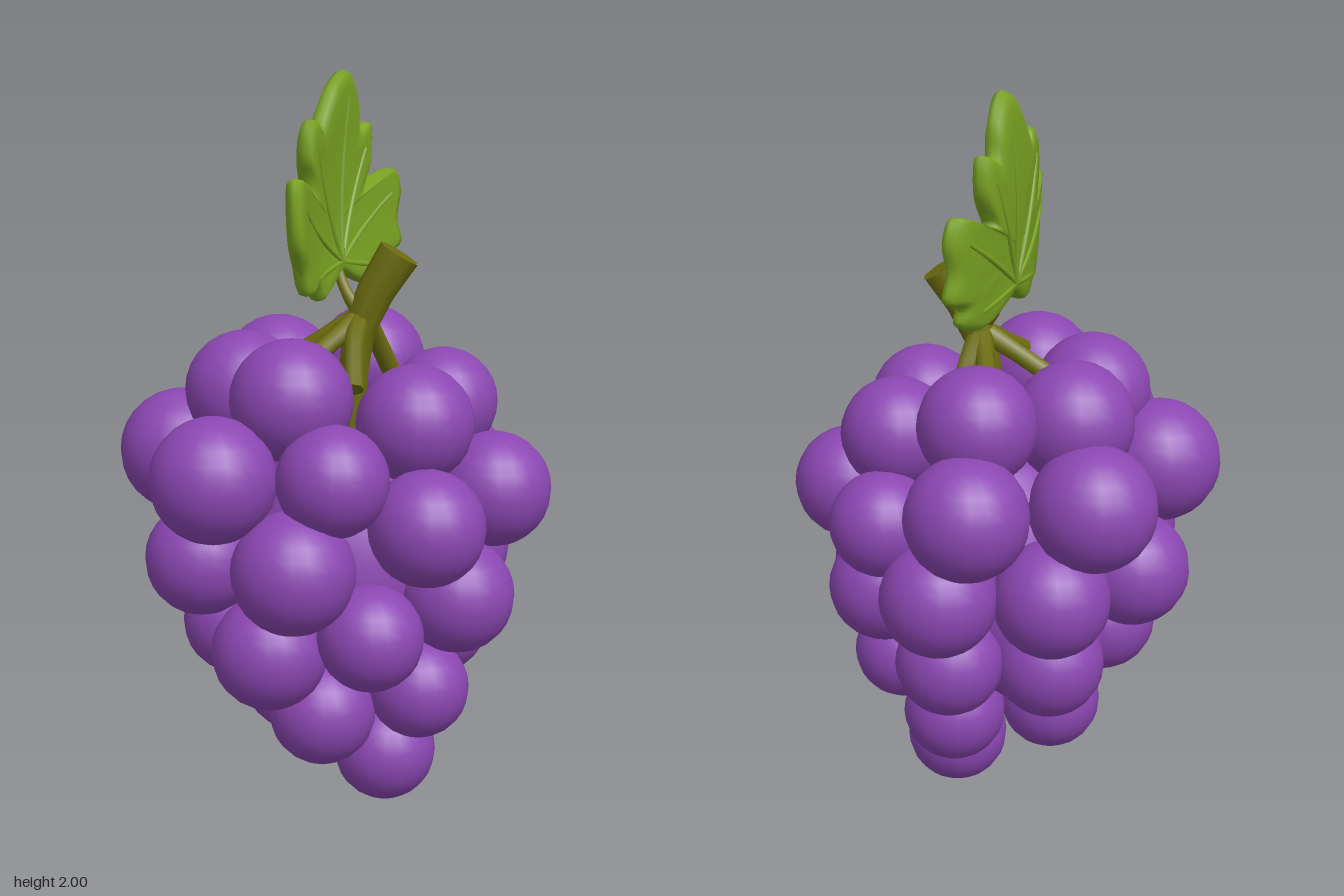
import * as THREE from 'three';

const grapePurple = new THREE.MeshStandardMaterial({ color: 0x8b47b2 });
const leafGreen = new THREE.MeshStandardMaterial({ color: 0x7aa222 });
const stemOlive = new THREE.MeshStandardMaterial({ color: 0x6c6c10 });
const V = (x, y, z) => new THREE.Vector3(x, y, z);

// Grapes as [x, y, z, radius], one tier per table
const tiers = {
  top: [
    [-0.04, 1.18, 0.27, 0.16], [-0.22, 1.17, 0.13, 0.16], [-0.22, 1.17, -0.14, 0.16],
    [0, 1.19, -0.29, 0.155], [0.25, 1.11, -0.16, 0.15], [0.25, 1.11, 0.13, 0.155]],
  shoulder: [
    [-0.41, 0.99, 0.12, 0.168], [-0.19, 1.0, 0.44, 0.163], [-0.3, 0.99, -0.28, 0.166],
    [-0.01, 1.0, -0.445, 0.16], [0.425, 0.91, -0.03, 0.155], [0.32, 0.87, 0.26, 0.152],
    [0.1, 1.0, 0.36, 0.145], [0.25, 0.91, -0.31, 0.14]],
  middle: [
    [-0.37, 0.74, -0.06, 0.155], [-0.29, 0.74, 0.28, 0.152], [0.015, 0.77, 0.42, 0.16],
    [0.355, 0.64, 0.08, 0.155], [0.28, 0.69, -0.21, 0.15], [0.08, 0.75, -0.39, 0.155],
    [-0.2, 0.74, -0.31, 0.155]],
  lower: [
    [0.18, 0.57, 0.29, 0.14], [-0.09, 0.51, 0.31, 0.155], [-0.265, 0.51, 0.1, 0.148],
    [0.25, 0.47, -0.14, 0.135], [0.08, 0.52, -0.29, 0.145], [-0.17, 0.5, -0.19, 0.15]],
  tip: [
    [0.255, 0.37, 0.09, 0.138], [0.015, 0.31, 0.19, 0.145], [-0.14, 0.3, -0.02, 0.14],
    [0.1, 0.31, -0.165, 0.14], [0.138, 0.142, 0.01, 0.142]],
};

function makeGrapes() {
  const group = new THREE.Group();
  group.name = 'grapes';
  for (const [tier, list] of Object.entries(tiers)) {
    for (const [x, y, z, r] of list) {
      const grape = new THREE.Mesh(new THREE.SphereGeometry(r, 20, 14), grapePurple);
      grape.position.set(x, y, z);
      grape.name = tier + 'Grape';
      group.add(grape);
    }
  }
  // Inner mass that closes the gaps between grapes
  const core = new THREE.Mesh(new THREE.SphereGeometry(1, 24, 16), grapePurple);
  core.scale.set(0.28, 0.38, 0.29);
  core.position.set(0.02, 0.68, 0);
  core.name = 'clusterCore';
  group.add(core);
  return group;
}

// Tube whose radius runs through the given values, with capped ends
function taperedTube(name, points, radii, material, sides = 8) {
  const curve = new THREE.CatmullRomCurve3(points.map(p => V(...p)));
  const rows = 12;
  const geo = new THREE.TubeGeometry(curve, rows, 1, sides);
  const pos = geo.attributes.position;
  const group = new THREE.Group();
  group.name = name;
  for (let k = 0; k <= rows; k++) {
    const c = curve.getPointAt(k / rows);
    const t = (k / rows) * (radii.length - 1);
    const i = Math.min(Math.floor(t), radii.length - 2);
    const r = THREE.MathUtils.lerp(radii[i], radii[i + 1], t - i);
    for (let j = 0; j <= sides; j++) {
      const n = k * (sides + 1) + j;
      const p = V(0, 0, 0).fromBufferAttribute(pos, n).sub(c).multiplyScalar(r).add(c);
      pos.setXYZ(n, p.x, p.y, p.z);
    }
  }
  group.add(new THREE.Mesh(geo, material));
  for (const end of [0, 1]) {
    const cap = new THREE.Mesh(new THREE.CircleGeometry(radii[end ? radii.length - 1 : 0], sides), material);
    const p = curve.getPointAt(end);
    const dir = curve.getTangentAt(end).multiplyScalar(end ? 1 : -1);
    cap.position.copy(p);
    cap.quaternion.setFromUnitVectors(V(0, 0, 1), dir);
    group.add(cap);
  }
  group.children.forEach(m => { m.name = name; });
  return group;
}

function makeStem() {
  const group = new THREE.Group();
  group.name = 'stem';
  group.add(
    taperedTube('mainStem', [[0.16, 1.53, -0.025], [0.1, 1.43, -0.01], [0.055, 1.32, 0],
      [0.04, 1.15, 0], [0.04, 0.7, 0], [0.12, 0.2, 0]], [0.058, 0.043, 0.035, 0.035, 0.03, 0.025], stemOlive),
    taperedTube('leafStalk', [[0.07, 1.36, 0], [0.02, 1.42, -0.01], [-0.02, 1.5, -0.03]],
      [0.025, 0.016, 0.014], stemOlive));
  const branchEnds = [[0.1, 1.2, 0.18], [0.1, 1.18, -0.17], [-0.13, 1.24, 0.01], [-0.04, 1.25, 0.19], [0, 1.26, -0.18]];
  for (const [x, y, z] of branchEnds) {
    group.add(taperedTube('branch', [[0.06, 1.36, 0], [0.03 + x * 0.4, 1.31, z * 0.45], [x, y, z]],
      [0.032, 0.026, 0.026], stemOlive));
  }
  return group;
}

// Lobed outline of the leaf as [z, y]
const leafOutline = [
  [-0.085, 2.0], [-0.145, 1.93], [-0.16, 1.845], [-0.215, 1.86], [-0.222, 1.77], [-0.175, 1.68],
  [-0.26, 1.705], [-0.33, 1.727], [-0.355, 1.67], [-0.335, 1.59], [-0.345, 1.52], [-0.29, 1.49],
  [-0.29, 1.45], [-0.21, 1.418], [-0.1, 1.45], [-0.03, 1.475], [0.04, 1.445], [0.14, 1.418],
  [0.185, 1.455], [0.27, 1.45], [0.3, 1.515], [0.35, 1.58], [0.355, 1.67], [0.33, 1.74],
  [0.27, 1.74], [0.155, 1.69], [0.155, 1.73], [0.18, 1.79], [0.165, 1.87], [0.115, 1.88],
  [0.085, 1.86], [0.04, 1.91], [-0.02, 1.975]];

// Sideways bend of the leaf blade
const leafBend = (y, z) => -0.035 + 0.5 * z * z - 0.08 * z + 0.2 * (y - 1.75) ** 2;

function makeLeaf() {
  const group = new THREE.Group();
  group.name = 'leaf';
  const n = 132;
  const outline = new THREE.CatmullRomCurve3(leafOutline.map(([z, y]) => V(0, y, z)), true, 'centripetal').getPoints(n).slice(0, n);
  const cy = 1.6, cz = -0.02;
  // Rings from the middle of one face, over the rim, to the middle of the other
  const rings = [[0, 0.018], [0.35, 0.02], [0.7, 0.024], [0.9, 0.026], [0.98, 0.016], [1, 0],
    [0.98, -0.016], [0.9, -0.026], [0.7, -0.024], [0.35, -0.02], [0, -0.018]];
  const verts = [], index = [];
  rings.forEach(([s, h], k) => {
    outline.forEach((p, i) => {
      const y = cy + (p.y - cy) * s, z = cz + (p.z - cz) * s;
      verts.push(leafBend(y, z) + h, y, z);
      if (k === rings.length - 1) return;
      const j = (i + 1) % n, a = k * n + i, b = k * n + j;
      index.push(a, b, b + n, a, b + n, a + n);
    });
  });
  const geo = new THREE.BufferGeometry();
  geo.setAttribute('position', new THREE.Float32BufferAttribute(verts, 3));
  geo.setIndex(index);
  geo.computeVertexNormals();
  const blade = new THREE.Mesh(geo, leafGreen);
  blade.name = 'leafBlade';
  group.add(blade);

  // Slightly raised veins on both faces
  const veinEnds = [[-0.08, 1.93], [-0.18, 1.79], [0.13, 1.81], [-0.3, 1.66], [0.29, 1.67], [-0.22, 1.47], [0.17, 1.48]];
  for (const side of [-1, 1]) {
    for (const [ez, ey] of veinEnds) {
      const pts = [0, 0.25, 0.5, 0.75, 1].map(t => {
        const z = THREE.MathUtils.lerp(-0.03, ez, t), y = THREE.MathUtils.lerp(1.5, ey, t);
        return V(leafBend(y, z) + side * 0.02, y, z);
      });
      const vein = new THREE.Mesh(new THREE.TubeGeometry(new THREE.CatmullRomCurve3(pts), 10, 0.008, 6), leafGreen);
      vein.name = 'leafVein';
      group.add(vein);
    }
  }
  return group;
}

export function createModel() {
  const model = new THREE.Group();
  model.name = 'grapeBunch';
  model.add(makeGrapes(), makeStem(), makeLeaf());
  return model;
}
